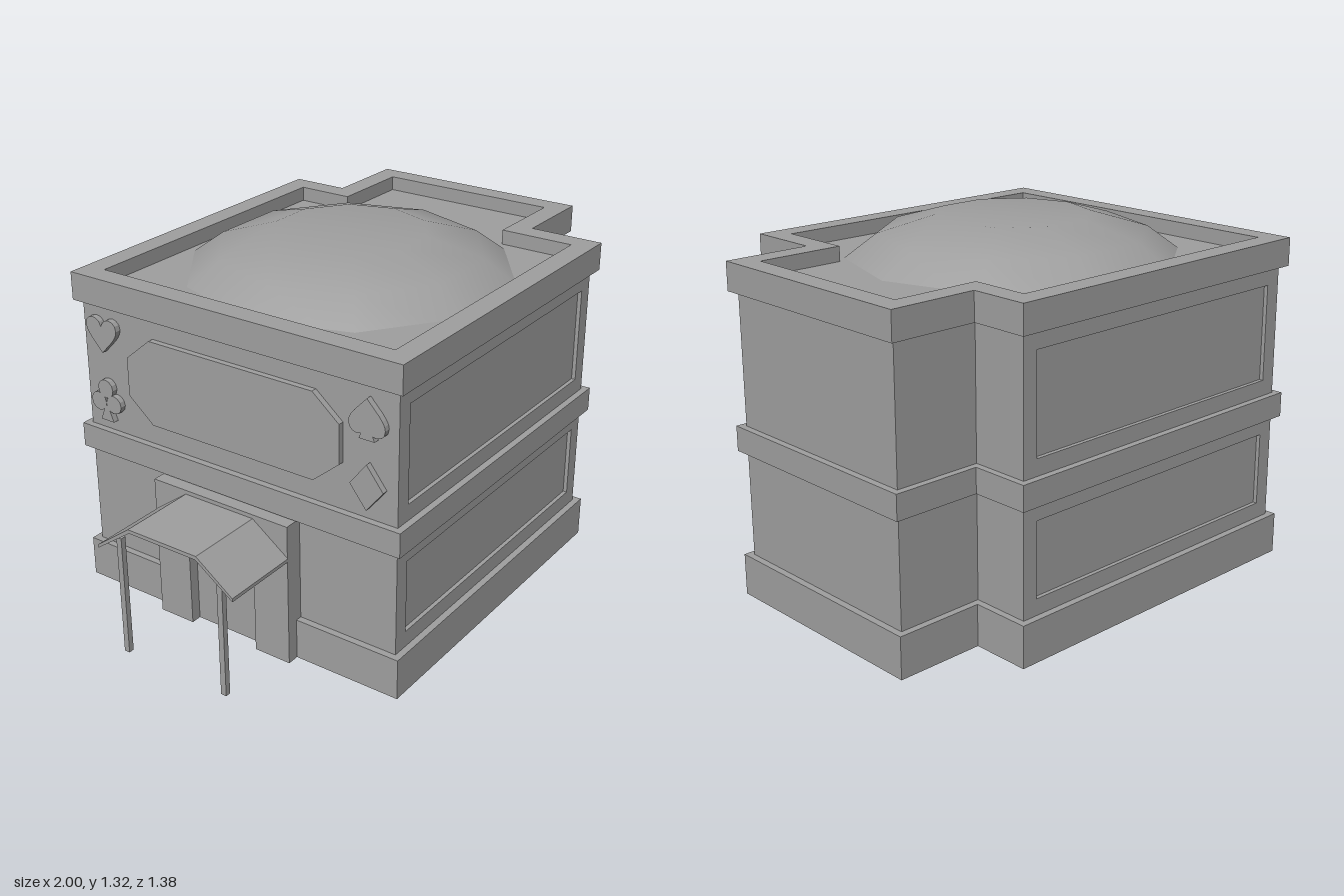
import * as THREE from 'three';

const V = (x, y) => new THREE.Vector2(x, y);

// Building footprint, inset by o
function plan(o) {
  const x0 = -0.66 + o, x1 = 0.67 - o, x2 = 1 - o;
  const z0 = -0.688 + o, z1 = 0.688 - o, za = -0.469 + o, zb = 0.403 - o;
  return [[x0, z1], [x1, z1], [x1, zb], [x2, zb], [x2, za], [x1, za], [x1, z0], [x0, z0]]
    .map(([x, z]) => V(x, -z));
}

export function createModel() {
  const model = new THREE.Group();
  const mat = new THREE.MeshStandardMaterial({ color: 0x9e9e9e, side: THREE.DoubleSide });
  const add = (name, geo) => {
    const mesh = new THREE.Mesh(geo, mat);
    mesh.name = name;
    model.add(mesh);
    return mesh;
  };
  const box = (name, x0, x1, y0, y1, z0, z1) =>
    add(name, new THREE.BoxGeometry(x1 - x0, y1 - y0, z1 - z0))
      .position.set((x0 + x1) / 2, (y0 + y1) / 2, (z0 + z1) / 2);

  // Floor-plan shape raised from y0 to y1
  const raise = (name, shape, y0, y1) => {
    const geo = new THREE.ExtrudeGeometry(shape, { depth: y1 - y0, bevelEnabled: false });
    add(name, geo.rotateX(-Math.PI / 2).translate(0, y0, 0));
  };
  const ring = (name, inset, y0, y1) => {
    const shape = new THREE.Shape(plan(0));
    shape.holes.push(new THREE.Path(plan(inset)));
    raise(name, shape, y0, y1);
  };

  // Shape drawn in (z, y), extruded outwards from x towards -x
  const sideExtrude = (name, shape, x, depth, z = 0, y = 0) => {
    const geo = new THREE.ExtrudeGeometry(shape, { depth, bevelEnabled: false, curveSegments: 6 });
    add(name, geo.rotateY(-Math.PI / 2).translate(x, y, z));
  };

  // Trim bands, parapet and roof
  ring('baseBand', 0.028, 0, 0.154);
  ring('middleBand', 0.028, 0.548, 0.64);
  ring('parapet', 0.082, 1.121, 1.225);
  const roof = new THREE.ShapeGeometry(new THREE.Shape(plan(0.06)));
  add('roof', roof.rotateX(-Math.PI / 2).translate(0, 1.17, 0));

  // Two storeys of thin walls, with framed recessed panels on the front and back
  const rect = (x0, y0, x1, y1) => [V(x0, y0), V(x1, y0), V(x1, y1), V(x0, y1)];
  const outer = plan(0.025), inner = plan(0.035);
  const recess = 0.015;
  for (const [y0, y1, p0, p1] of [[0.154, 0.548, 0.214, 0.488], [0.64, 1.121, 0.7, 1.058]]) {
    raise('rightWalls', new THREE.Shape([...outer.slice(1, 7), ...inner.slice(1, 7).reverse()]), y0, y1);
    raise('leftWall', new THREE.Shape([outer[7], outer[0], inner[0], inner[7]]), y0, y1);
    const frame = new THREE.Shape(rect(-0.635, y0, 0.645, y1));
    frame.holes.push(new THREE.Path(rect(-0.575, p0, 0.587, p1)));
    for (const s of [1, -1]) {
      const geo = new THREE.ExtrudeGeometry(frame, { depth: recess, bevelEnabled: false });
      add('panelFrame', geo.translate(0, 0, s > 0 ? 0.663 - recess : -0.663));
      const zFace = s * (0.663 - recess), zBack = zFace - s * 0.01;
      box('panel', -0.575, 0.587, p0, p1, Math.min(zFace, zBack), Math.max(zFace, zBack));
    }
  }

  // Ten-sided shallow dome with a flat crown, running down through the roof
  const domeProfile = [[0.66, 1.129], [0.49, 1.255], [0.28, 1.317], [0, 1.317]];
  const dome = new THREE.LatheGeometry(domeProfile.map(([r, y]) => V(r, y)), 10, Math.PI / 2);
  add('dome', dome.translate(0.055, 0, 0));

  // Eight-sided sign board on the entrance wall
  const wallX = -0.635, thick = 0.022;
  const a = 0.45, b = 0.16, cz = 0.105, cy = 0.088;
  sideExtrude('signBoard', new THREE.Shape([
    V(-a + cz, -b), V(a - cz, -b), V(a, -b + cy), V(a, b - cy),
    V(a - cz, b), V(-a + cz, b), V(-a, b - cy), V(-a, -b + cy)]), wallX, thick, 0, 0.885);

  // Card-suit ornaments beside the board
  const heart = (s) => {
    const h = new THREE.Shape();
    h.moveTo(0, -0.065 * s);
    h.bezierCurveTo(0.03, -0.03 * s, 0.07, 0, 0.07, 0.03 * s);
    h.bezierCurveTo(0.07, 0.075 * s, 0.01, 0.075 * s, 0, 0.035 * s);
    h.bezierCurveTo(-0.01, 0.075 * s, -0.07, 0.075 * s, -0.07, 0.03 * s);
    h.bezierCurveTo(-0.07, 0, -0.03, -0.03 * s, 0, -0.065 * s);
    return h;
  };
  const stem = () => new THREE.Shape([V(-0.03, -0.08), V(0.03, -0.08), V(0.006, -0.02), V(-0.006, -0.02)]);
  const zL = -0.565, zR = 0.555, yT = 1.012, yB = 0.762;
  sideExtrude('heart', heart(1), wallX, thick, zL, yT);
  sideExtrude('spade', heart(-1), wallX, thick, zR, yT);
  sideExtrude('spadeStem', stem(), wallX, thick, zR, yT);
  sideExtrude('diamond', new THREE.Shape([V(0, -0.083), V(0.065, 0), V(0, 0.083), V(-0.065, 0)]),
    wallX + 0.013, thick + 0.013, zR, yB);
  for (const [z, y] of [[-0.035, -0.01], [0.035, -0.01], [0, 0.045]]) {
    sideExtrude('clubLeaf', new THREE.Shape().absarc(0, 0, 0.035, 0, Math.PI * 2), wallX, thick, zL + z, yB + y);
  }
  sideExtrude('clubStem', stem(), wallX, thick, zL, yB);

  // Entrance portal: two pillars and a lintel
  box('portalPillar', -0.705, -0.628, 0, 0.545, -0.31, -0.165);
  box('portalPillar', -0.705, -0.628, 0, 0.545, 0.125, 0.272);
  box('portalLintel', -0.705, -0.63, 0.44, 0.545, -0.165, 0.125);
  box('door', -0.665, -0.633, 0, 0.44, -0.165, 0.125);

  // Canopy with sloped sides on two thin posts
  sideExtrude('canopy', new THREE.Shape([
    V(-0.31, 0.424), V(-0.31, 0.411), V(-0.163, 0.516), V(0.123, 0.516),
    V(0.274, 0.411), V(0.274, 0.424), V(0.127, 0.53), V(-0.167, 0.53)]), -0.705, 0.295);
  for (const z of [-0.236, 0.2]) {
    box('canopyPost', -0.976, -0.955, 0, 0.462, z - 0.011, z + 0.011);
  }
  return model;
}
